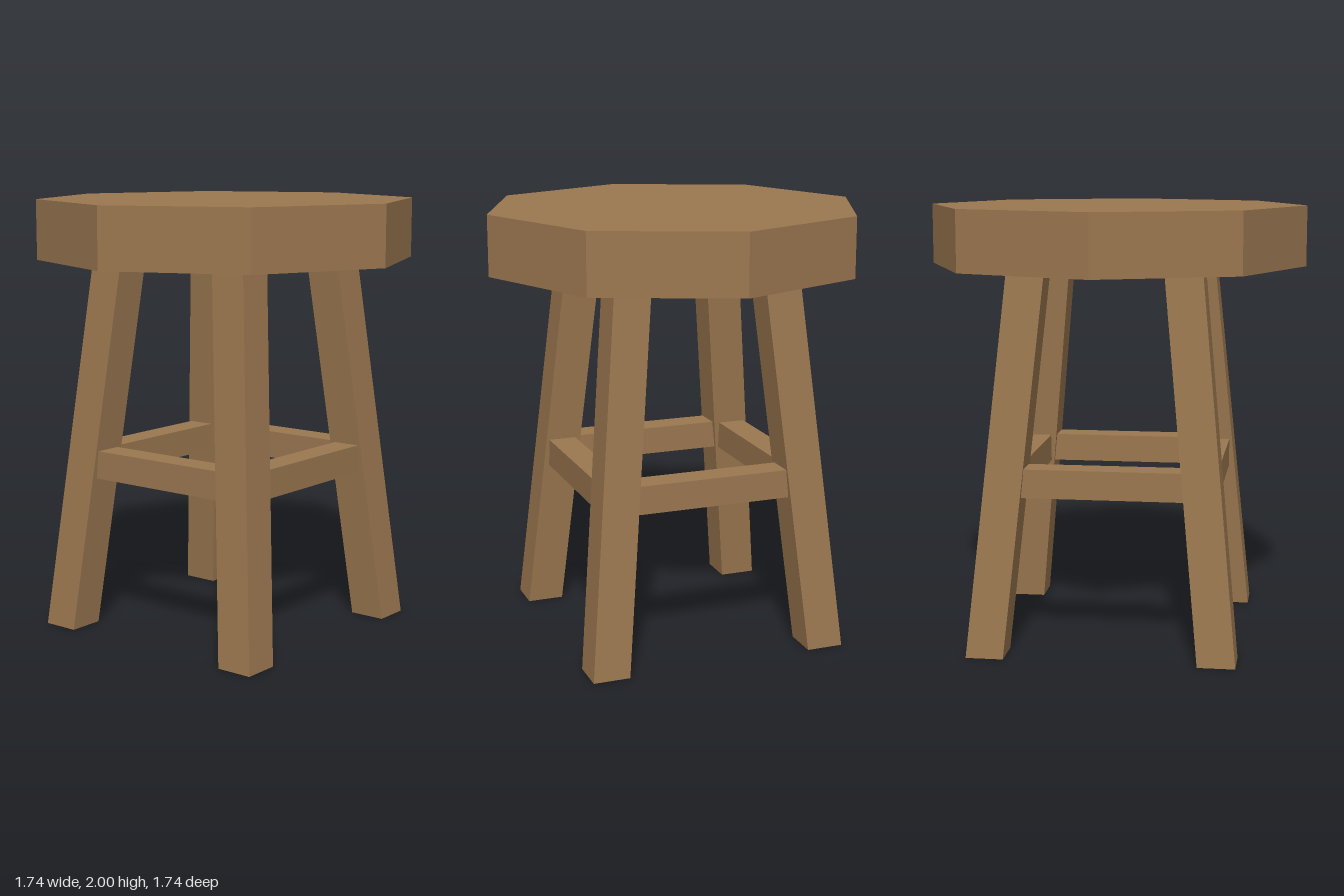
import * as THREE from 'three';

const wood = new THREE.MeshStandardMaterial({ color: 0x9b7750, flatShading: true });

const SEAT_BOTTOM = 1.725, SEAT_TOP = 2, SEAT_RADIUS = 0.87;
const LEG_SIZE = 0.17, FOOT = 0.52, LEAN = 0.17; // foot centre, inward shift at the top
const RAIL_SIZE = 0.13, RAIL_Y = 0.785;

function addMesh(group, name, geometry) {
  const mesh = new THREE.Mesh(geometry, wood);
  mesh.name = name;
  group.add(mesh);
  return mesh;
}

// Square leg sheared inward toward the middle, with level ends
function legGeometry(sx, sz) {
  const geo = new THREE.BoxGeometry(LEG_SIZE, SEAT_BOTTOM, LEG_SIZE);
  geo.translate(0, SEAT_BOTTOM / 2, 0);
  const p = geo.attributes.position;
  for (let i = 0; i < p.count; i++) {
    const offset = FOOT - LEAN * p.getY(i) / SEAT_BOTTOM;
    p.setX(i, p.getX(i) + sx * offset);
    p.setZ(i, p.getZ(i) + sz * offset);
  }
  geo.computeVertexNormals();
  return geo;
}

export function createModel() {
  const stool = new THREE.Group();
  stool.name = 'stool';

  // Thick octagonal seat with a corner on each axis
  const thickness = SEAT_TOP - SEAT_BOTTOM;
  const seat = addMesh(stool, 'seat',
    new THREE.CylinderGeometry(SEAT_RADIUS, SEAT_RADIUS, thickness, 8));
  seat.position.y = SEAT_BOTTOM + thickness / 2;

  // Four splayed legs
  for (const sx of [1, -1])
    for (const sz of [1, -1])
      addMesh(stool, (sz > 0 ? 'front' : 'back') + (sx > 0 ? 'Left' : 'Right') + 'Leg',
        legGeometry(sx, sz));

  // Four rails, each running between the centres of neighbouring legs
  const reach = FOOT - LEAN * RAIL_Y / SEAT_BOTTOM;
  ['frontRail', 'leftRail', 'backRail', 'rightRail'].forEach((name, i) => {
    const angle = i * Math.PI / 2;
    const rail = addMesh(stool, name,
      new THREE.BoxGeometry(reach * 2, RAIL_SIZE, RAIL_SIZE));
    rail.position.set(Math.sin(angle) * reach, RAIL_Y, Math.cos(angle) * reach);
    rail.rotation.y = angle;
  });

  return stool;
}
